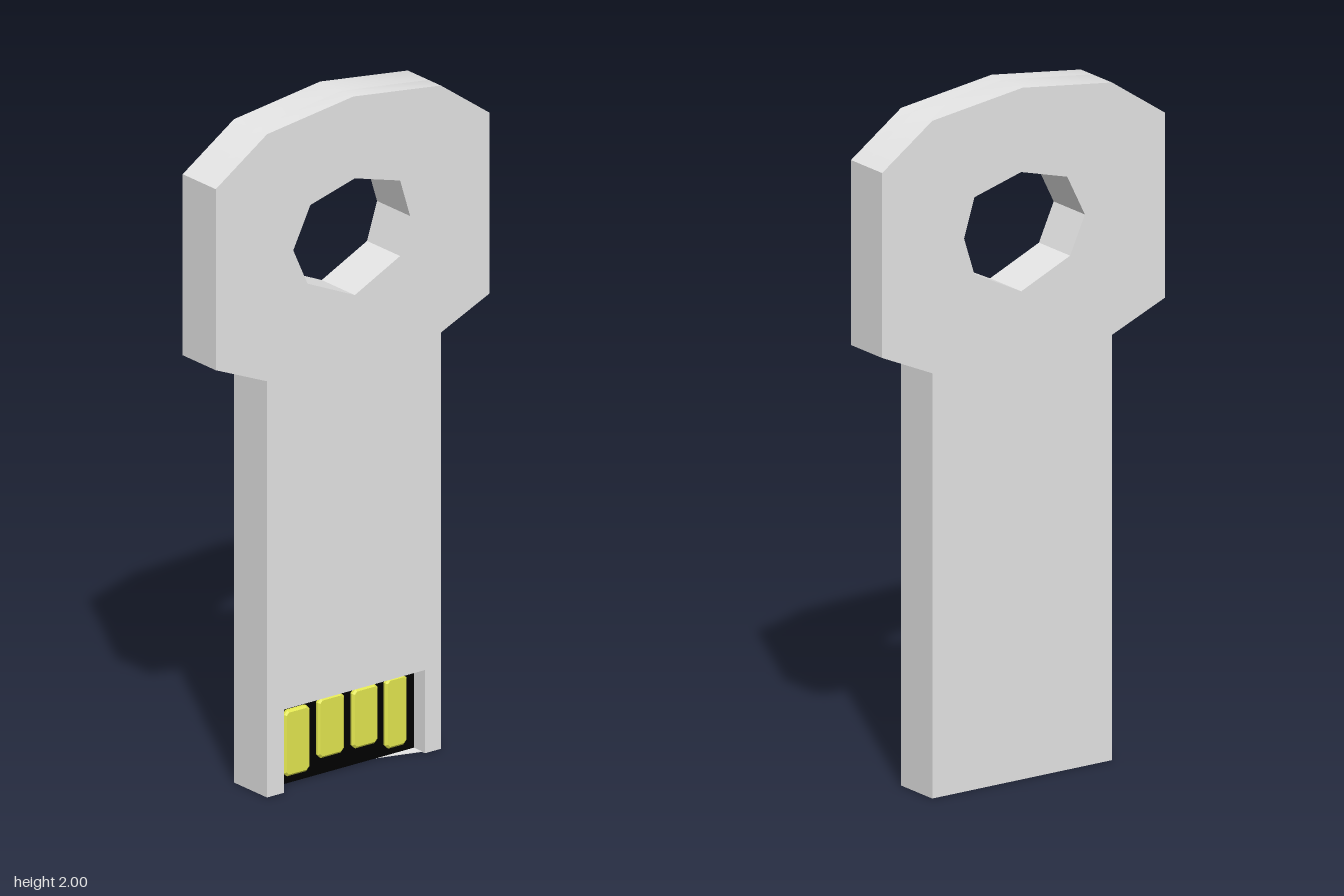
import * as THREE from 'three';
import { toCreasedNormals } from 'three/addons/utils/BufferGeometryUtils.js';

const BACK = -0.075, FLOOR = 0.018, FRONT = 0.073;

const toPoints = (list) => list.map(([x, y]) => new THREE.Vector2(x, y));

// Key silhouette from the lower right corner, round the head, to the lower left
const OUTLINE = [
  [0.31, 0], [0.31, 1.23], [0.48, 1.305], [0.48, 1.84], [0.31, 1.96], [0.003, 2],
  [-0.3, 1.96], [-0.48, 1.84], [-0.48, 1.305], [-0.3, 1.23], [-0.3, 0],
];
const HOLE = [
  [0.008, 1.757], [0.167, 1.713], [0.202, 1.6], [0.167, 1.49],
  [0.008, 1.412], [-0.158, 1.485], [-0.208, 1.595], [-0.148, 1.715],
];
// Contact recess, open at the bottom edge
const RECESS = [[-0.24, 0], [-0.24, 0.246], [0.254, 0.246], [0.254, 0]];

function material(name, color) {
  const m = new THREE.MeshStandardMaterial({ color });
  m.name = name;
  return m;
}

function addMesh(group, name, geometry, mat) {
  const mesh = new THREE.Mesh(geometry, mat);
  mesh.name = name;
  group.add(mesh);
  return mesh;
}

// One layer of the body between two depths
function bodyLayer(points, z0, z1) {
  const shape = new THREE.Shape(toPoints(points));
  shape.holes.push(new THREE.Path(toPoints(HOLE)));
  const geo = new THREE.ExtrudeGeometry(shape, { depth: z1 - z0, bevelEnabled: false });
  geo.translate(0, 0, z0);
  return toCreasedNormals(geo, 0.6);
}

// Contact pad with clipped corners and a narrow bevel
function padGeometry(x0, x1, y0, y1) {
  const b = 0.006, c = 0.008;
  const [l, r, d, u] = [x0 + b, x1 - b, y0 + b, y1 - b];
  const shape = new THREE.Shape(toPoints([
    [l + c, d], [r - c, d], [r, d + c], [r, u - c],
    [r - c, u], [l + c, u], [l, u - c], [l, d + c],
  ]));
  return new THREE.ExtrudeGeometry(shape, {
    depth: 0.008, bevelThickness: 0.005, bevelSize: b, bevelSegments: 1,
  });
}

export function createModel() {
  const model = new THREE.Group();
  model.name = 'keyShapedDrive';
  const metal = material('brushed metal', 0xe5e5e5);
  const black = material('contact black', 0x000000);
  const gold = material('contact yellow', 0xe3e750);

  // Body: full back layer and a front layer notched for the contacts
  const body = new THREE.Group();
  body.name = 'body';
  addMesh(body, 'bodyBack', bodyLayer(OUTLINE, BACK, FLOOR), metal);
  addMesh(body, 'bodyFront', bodyLayer([...OUTLINE, ...RECESS], FLOOR, FRONT), metal);
  model.add(body);

  // Thin sloping web closing one corner of the recess at the bottom edge
  const web = new THREE.Shape(toPoints([[0.115, FLOOR], [0.3, FRONT], [0.3, FLOOR]]));
  const webGeo = new THREE.ExtrudeGeometry(web, { depth: 0.002, bevelEnabled: false });
  const lip = addMesh(body, 'bottomWeb', webGeo, metal);
  lip.rotation.x = Math.PI / 2;
  lip.position.y = 0.002;

  // Black contact board on the recess floor
  const board = addMesh(model, 'contactBoard', new THREE.BoxGeometry(0.494, 0.244, 0.006), black);
  board.position.set(0.007, 0.124, FLOOR + 0.003);

  // Four contact pads, the outer two longer
  const pads = [
    [-0.21, -0.121, 0.027, 0.222], [-0.092, 0, 0.053, 0.23],
    [0.029, 0.119, 0.053, 0.228], [0.145, 0.22, 0.025, 0.232],
  ];
  pads.forEach((p, i) => {
    const pad = addMesh(model, `contactPad${i + 1}`, padGeometry(...p), gold);
    pad.position.z = FLOOR + 0.008;
  });
  return model;
}
